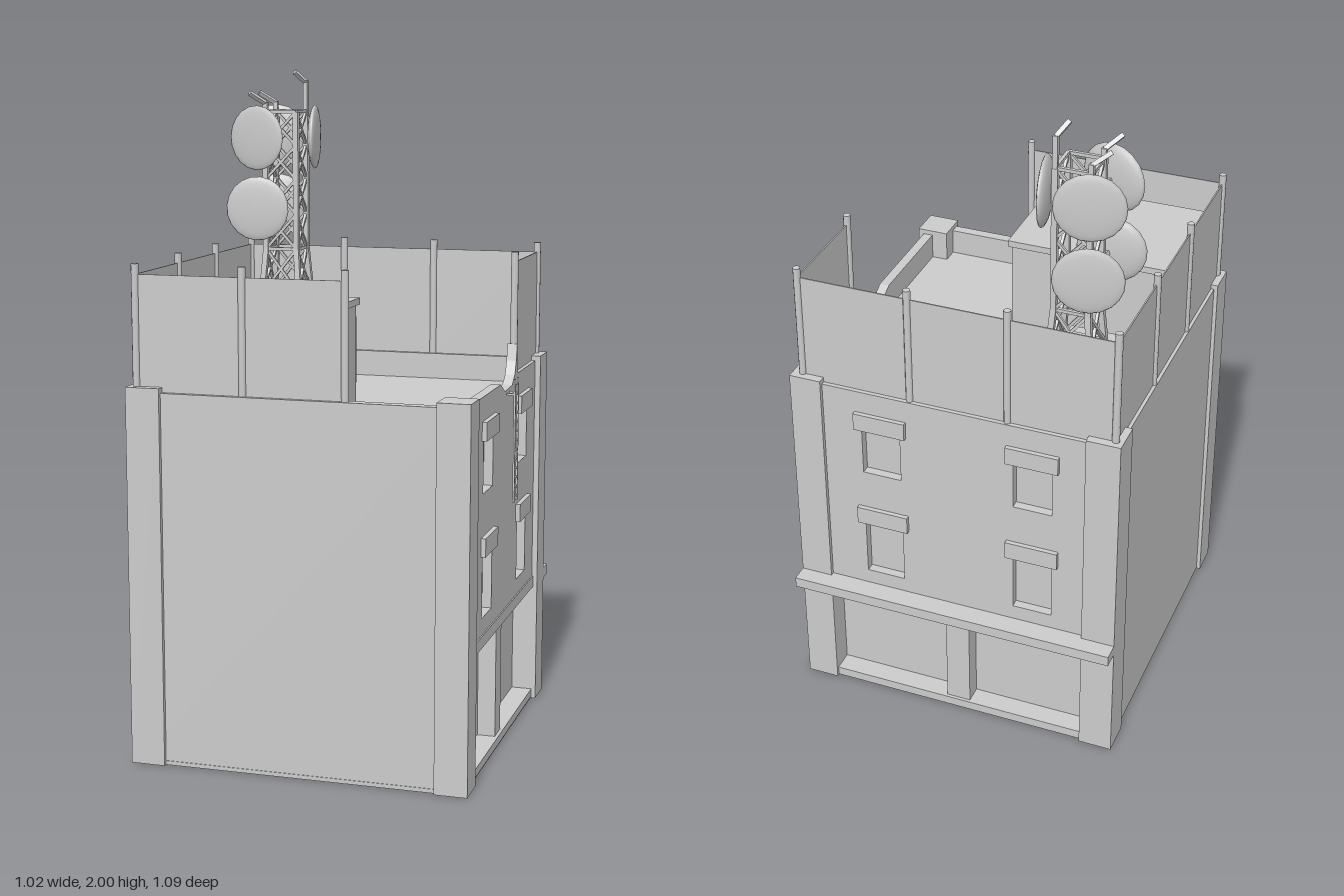
import * as THREE from 'three';

const mat = new THREE.MeshStandardMaterial({ color: 0xcccccc, side: THREE.DoubleSide });

function add(parent, name, geo) {
  const m = new THREE.Mesh(geo, mat);
  m.name = name;
  parent.add(m);
  return m;
}

// Box given by its minimum and maximum on each axis
function box(parent, name, x0, x1, y0, y1, z0, z1) {
  const m = add(parent, name, new THREE.BoxGeometry(x1 - x0, y1 - y0, z1 - z0));
  m.position.set((x0 + x1) / 2, (y0 + y1) / 2, (z0 + z1) / 2);
  return m;
}

// Square or round bar between two points
function bar(parent, name, a, b, r, sides = 4) {
  const p = new THREE.Vector3(...a), q = new THREE.Vector3(...b);
  const d = q.clone().sub(p);
  const geo = new THREE.CylinderGeometry(r, r, d.length(), sides);
  if (sides === 4) geo.rotateY(Math.PI / 4);
  const m = add(parent, name, sides === 4 ? geo.toNonIndexed() : geo);
  if (sides === 4) m.geometry.computeVertexNormals();
  m.position.copy(p).add(q).multiplyScalar(0.5);
  m.quaternion.setFromUnitVectors(new THREE.Vector3(0, 1, 0), d.normalize());
  return m;
}

// Flat plate with rectangular holes [x0, x1, y0, y1]
function plate(parent, name, outline, holes, z, depth) {
  const shape = new THREE.Shape(outline.map(p => new THREE.Vector2(...p)));
  for (const [a, b, c, d] of holes) {
    shape.holes.push(new THREE.Path([[a, c], [a, d], [b, d], [b, c]].map(p => new THREE.Vector2(...p))));
  }
  const m = add(parent, name, new THREE.ExtrudeGeometry(shape, { depth, bevelEnabled: false }));
  m.position.z = z;
  return m;
}

// Street facade facing local +z: shopfront below, four windows above
function facade({ name, turn, u0, u1, s0, s1, windows, mullion, door, top = [] }) {
  const g = new THREE.Group();
  g.name = name;
  g.rotation.y = turn;
  const rows = [[0.455, 0.64], [0.82, 0.975]];
  const holes = [];
  for (const u of windows) for (const [a, b] of rows) {
    holes.push([u - 0.06, u + 0.06, a, b]);
    box(g, 'windowPane', u - 0.065, u + 0.065, a - 0.005, b + 0.005, 0.43, 0.453);
    box(g, 'windowLintel', u - 0.08, u + 0.08, b, b + 0.055, 0.46, 0.494);
  }
  plate(g, 'upperWall', [[u0, 0.4], [u1, 0.4], [u1, 1.1], ...top, [u0, 1.1]], holes, 0.45, 0.03);
  box(g, 'shopBeam', s0, s1, 0.37, 0.405, 0.385, 0.484);
  box(g, 'shopSill', s0, s1, 0.005, 0.03, 0.385, 0.484);
  plate(g, 'shopWall', [[s0, 0.02], [s1, 0.02], [s1, 0.38], [s0, 0.38]], door ? [door] : [], 0.385, 0.035);
  box(g, 'shopMullion', mullion[0], mullion[1], 0.03, 0.37, 0.4, 0.474);
  return g;
}

function makeDish(parent, [x, y, z], nx, nz, leg) {
  const dish = new THREE.Group();
  dish.name = 'dish';
  const profile = [];
  for (let i = 0; i <= 10; i++) {
    const a = -Math.PI / 2 + (Math.PI * i) / 10;
    profile.push(new THREE.Vector2(0.1 * Math.cos(a), Math.sin(a) * (a < 0 ? 0.022 : 0.012)));
  }
  const m = add(dish, 'dishReflector', new THREE.LatheGeometry(profile, 20));
  m.quaternion.setFromUnitVectors(new THREE.Vector3(0, 1, 0), new THREE.Vector3(nx, 0, nz).normalize());
  dish.position.set(x, y, z);
  parent.add(dish);
  bar(parent, 'dishArm', [x, y, z], [leg[0], y, leg[1]], 0.009);
}

function makeTower() {
  const g = new THREE.Group();
  g.name = 'antennaTower';
  const cx = -0.318, cz = -0.323;
  const corners = [[-1, -1], [1, -1], [1, 1], [-1, 1]];
  const at = (i, [y, h]) => [cx + corners[i % 4][0] * h, y, cz + corners[i % 4][1] * h];
  // Height and half-width of every storey
  const levels = [[1.02, 0.085], [1.16, 0.073], [1.3, 0.061], [1.44, 0.05],
    [1.55, 0.05], [1.66, 0.05], [1.765, 0.05], [1.87, 0.05]];
  for (let k = 0; k < levels.length; k++) for (let i = 0; i < 4; i++) {
    const a = levels[k], b = levels[k + 1];
    if (k === 0 || k === 3 || k === 7 || k === 2) bar(g, 'towerRing', at(i, a), at(i + 1, a), 0.007);
    if (!b) continue;
    bar(g, 'towerLeg', at(i, a), at(i, b), 0.012);
    bar(g, 'towerBrace', at(i, a), at(i + 1, b), 0.006);
    bar(g, 'towerBrace', at(i + 1, a), at(i, b), 0.006);
  }
  // Bent whips on three legs
  for (const [x, z, y, tx, tz] of [
    [-0.268, -0.373, 1.965, -0.292, -0.335],
    [-0.368, -0.373, 1.9, -0.413, -0.343],
    [-0.368, -0.273, 1.9, -0.407, -0.235]]) {
    bar(g, 'whip', [x, 1.8, z], [x, y, z], 0.01);
    bar(g, 'whipTip', [x, y - 0.004, z], [tx, y + 0.028, tz], 0.009);
  }
  // Dishes: position, facing direction, supporting leg
  makeDish(g, [-0.38, 1.79, -0.22], -0.28, 0.96, [-0.368, -0.273]);
  makeDish(g, [-0.38, 1.57, -0.223], 0.1, 0.99, [-0.368, -0.273]);
  makeDish(g, [-0.378, 1.79, -0.41], -0.25, -0.97, [-0.368, -0.373]);
  makeDish(g, [-0.378, 1.57, -0.41], -0.25, -0.97, [-0.368, -0.373]);
  makeDish(g, [-0.232, 1.79, -0.36], 0.98, -0.17, [-0.268, -0.373]);
  return g;
}

export function createModel() {
  const root = new THREE.Group();
  root.name = 'building';

  // Body, plain walls and roof
  box(root, 'basePlate', -0.5, 0.482, 0, 0.012, -0.482, 0.53);
  box(root, 'core', -0.48, 0.36, 0.005, 1.0, -0.36, 0.5);
  box(root, 'roof', -0.48, 0.46, 0.99, 1.02, -0.46, 0.505);
  box(root, 'leftWall', -0.5, -0.47, 0.005, 1.1, -0.47, 0.52);
  box(root, 'frontWall', -0.49, 0.47, 0.005, 1.1, 0.495, 0.528);

  // Corner pillars
  for (const [x0, x1] of [[-0.512, -0.41], [0.4, 0.497]]) {
    for (const [z0, z1] of [[-0.493, -0.39], [0.443, 0.541]]) {
      box(root, 'cornerPillar', x0, x1, 0, 1.115, z0, z1);
    }
  }

  // Two street facades; the right parapet has a broken notch
  root.add(facade({
    name: 'rightFacade', turn: Math.PI / 2, u0: -0.52, u1: 0.475, s0: -0.445, s1: 0.392,
    windows: [-0.253, 0.21], mullion: [-0.095, -0.025], door: [-0.4, -0.26, 0.03, 0.265],
    top: [[0.135, 1.1], [0.12, 1.19], [0.108, 1.14], [0.09, 1.1], [0.055, 1.075], [-0.04, 1.07], [-0.1, 1.1]],
  }));
  root.add(facade({
    name: 'backFacade', turn: Math.PI, u0: -0.475, u1: 0.495, s0: -0.402, s1: 0.412,
    windows: [-0.22, 0.25], mullion: [-0.03, 0.045],
  }));
  box(root, 'backLedge', -0.512, 0.497, 0.375, 0.408, -0.545, -0.47);

  // Roof fence: posts and thin panels
  const posts = [[0.466, -0.135], [0.466, -0.465], [0.13, -0.465], [-0.168, -0.465], [-0.488, -0.465],
    [-0.488, -0.132], [-0.488, 0.182], [-0.488, 0.512], [-0.168, 0.512], [0.133, 0.512]];
  posts.forEach(([x, z], i) => {
    bar(root, 'fencePost', [x, 1.02, z], [x, 1.465, z], 0.011, 10);
    if (i === posts.length - 1) return;
    const [x2, z2] = posts[i + 1];
    box(root, 'fencePanel', Math.min(x, x2) - 0.002, Math.max(x, x2) + 0.002, 1.09, 1.435,
      Math.min(z, z2) - 0.002, Math.max(z, z2) + 0.002);
  });

  // Roof shed and equipment cabinets
  box(root, 'shed', -0.432, 0.043, 1.01, 1.32, 0.11, 0.483);
  box(root, 'shedRoof', -0.441, 0.052, 1.32, 1.34, 0.1, 0.49);
  box(root, 'cabinet', -0.165, -0.078, 1.01, 1.23, -0.3, -0.235);
  box(root, 'cabinet', -0.165, -0.078, 1.01, 1.23, -0.224, -0.163);
  const unit = plate(root, 'slopedCabinet',
    [[0.092, 1.01], [0.17, 1.01], [0.17, 1.23], [0.115, 1.23], [0.092, 1.14]], [], 0, 0.238);
  unit.rotation.y = Math.PI / 2;
  unit.position.x = -0.445;

  // Ladder hanging on the right facade
  const ladder = new THREE.Group();
  ladder.name = 'ladder';
  for (const z of [-0.02, 0.022]) {
    bar(ladder, 'ladderRail', [0.505, 0.735, z], [0.505, 1.105, z], 0.004);
    bar(ladder, 'ladderBracket', [0.47, 1.06, z], [0.505, 1.06, z], 0.004);
  }
  for (let i = 0; i < 13; i++) {
    const y = 0.75 + i * 0.028;
    bar(ladder, 'ladderRung', [0.505, y, -0.02], [0.505, y, 0.022], 0.0035);
  }
  root.add(ladder);

  root.add(makeTower());
  return root;
}
